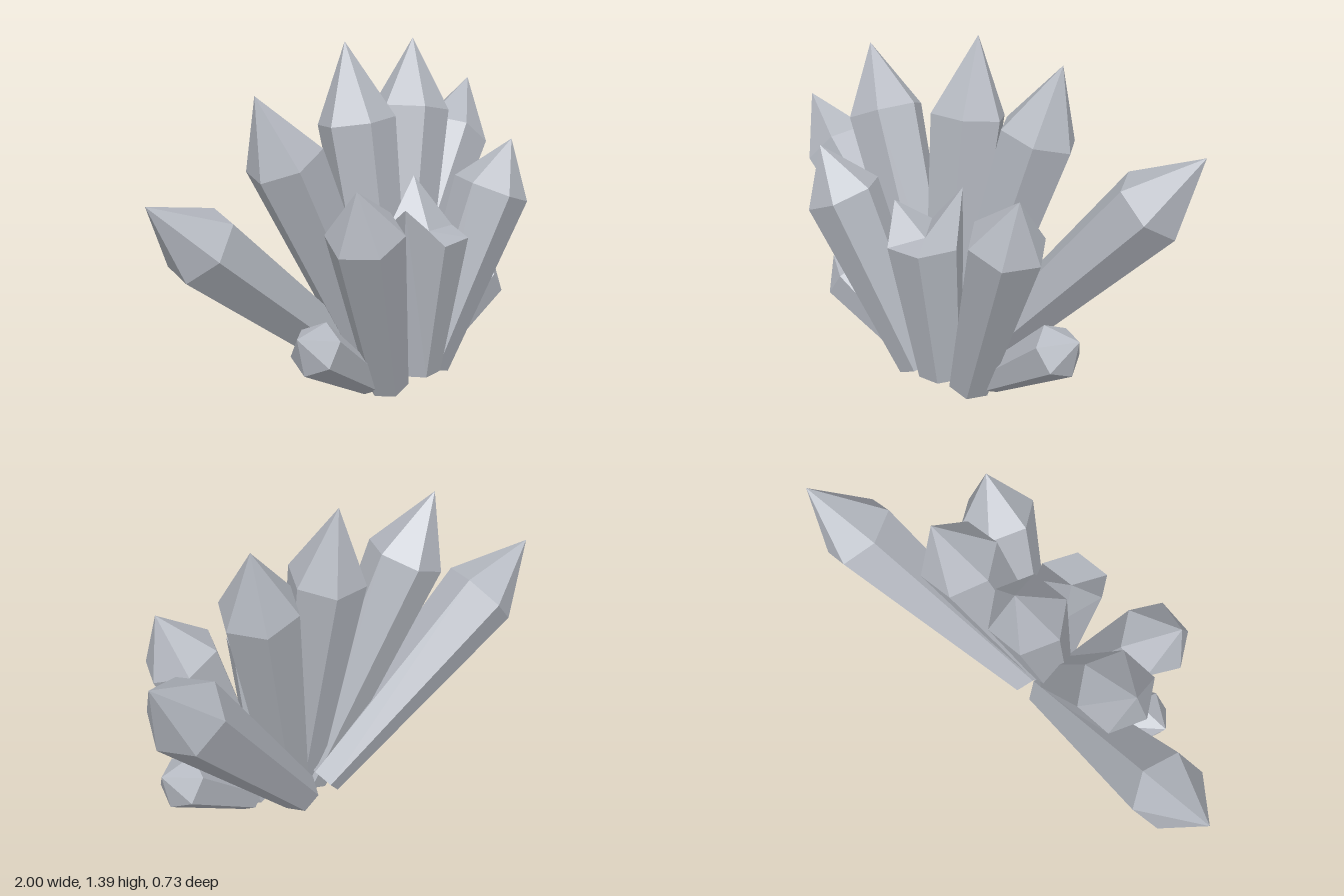
import * as THREE from 'three';

const crystalMaterial = new THREE.MeshStandardMaterial({ color: 0xb4b8c0, flatShading: true });
crystalMaterial.name = 'pale grey crystal';

const V = (a) => new THREE.Vector3(...a);

// Six-sided ring around a centre, square to the axis, with one corner towards +x
function ring(centre, axis, radius) {
  const u = new THREE.Vector3(1, 0, 0).addScaledVector(axis, -axis.x).normalize();
  const w = new THREE.Vector3().crossVectors(u, axis);
  return Array.from({ length: 6 }, (_, i) => {
    const a = (i * Math.PI) / 3;
    return centre.clone().addScaledVector(u, radius * Math.cos(a)).addScaledVector(w, radius * Math.sin(a));
  });
}

// Closed shell: base cap, six sides and six facets meeting at the tip
function crystalGeometry(base, low, high, tip) {
  const points = [];
  for (let i = 0; i < 6; i++) {
    const j = (i + 1) % 6;
    points.push(base, low[i], low[j]);
    points.push(low[i], high[i], high[j], low[i], high[j], low[j]);
    points.push(high[i], tip, high[j]);
  }
  const geometry = new THREE.BufferGeometry().setFromPoints(points);
  geometry.computeVertexNormals();
  return geometry;
}

// name, base centre, shoulder centre, tip, base radius, shoulder radius
const CRYSTALS = [
  ['backCentreCrystal', [0.02, 0.05, 0.04], [0.008, 1.09, -0.12], [0.01, 1.4, -0.18], 0.09, 0.158],
  ['backLeftCrystal', [0.08, 0.05, 0.03], [0.355, 1.08, -0.115], [0.43, 1.36, -0.16], 0.09, 0.16],
  ['backRightCrystal', [-0.01, 0.05, 0.02], [-0.425, 1.015, -0.12], [-0.54, 1.275, -0.16], 0.09, 0.158],
  ['farLeftCrystal', [0.1, 0.07, -0.06], [0.805, 0.87, -0.225], [0.997, 1.09, -0.275], 0.085, 0.16],
  ['farRightCrystal', [-0.03, 0.085, -0.06], [-0.78, 0.745, -0.225], [-1.0, 0.935, -0.275], 0.085, 0.16],
  ['frontRightCrystal', [-0.07, 0.05, 0.1], [-0.36, 0.765, 0.215], [-0.45, 0.96, 0.25], 0.085, 0.155],
  ['frontLeftCrystal', [0.2, 0.05, 0.1], [0.467, 0.77, 0.22], [0.55, 0.97, 0.26], 0.09, 0.158],
  ['lowRightCrystal', [-0.13, 0.07, 0.055], [-0.475, 0.312, 0.065], [-0.575, 0.38, 0.06], 0.06, 0.112],
  ['lowLeftCrystal', [0.27, 0.075, 0.06], [0.608, 0.317, 0.075], [0.705, 0.385, 0.075], 0.06, 0.112],
];

export function createModel() {
  const group = new THREE.Group();
  group.name = 'crystalCluster';
  const add = (name, geometry) => {
    const mesh = new THREE.Mesh(geometry, crystalMaterial);
    mesh.name = name;
    group.add(mesh);
  };

  for (const [name, b, s, t, r0, r1] of CRYSTALS) {
    const base = V(b), shoulder = V(s), tip = V(t);
    const axis = tip.clone().sub(base).normalize();
    add(name, crystalGeometry(base, ring(base, axis, r0), ring(shoulder, axis, r1), tip));
  }

  // Broken crystal in front: ragged rim of uneven heights around a sunken centre
  const up = new THREE.Vector3(0, 1, 0);
  const base = V([0.08, 0.07, 0.135]);
  const rim = ring(V([0.058, 0, 0.205]), up, 0.155);
  const heights = [0.67, 0.66, 0.66, 0.8, 0.7, 0.87];
  rim.forEach((p, i) => (p.y = heights[i]));
  add('brokenFrontCrystal', crystalGeometry(base, ring(base, up, 0.095), rim, V([0.058, 0.68, 0.205])));

  return group;
}
